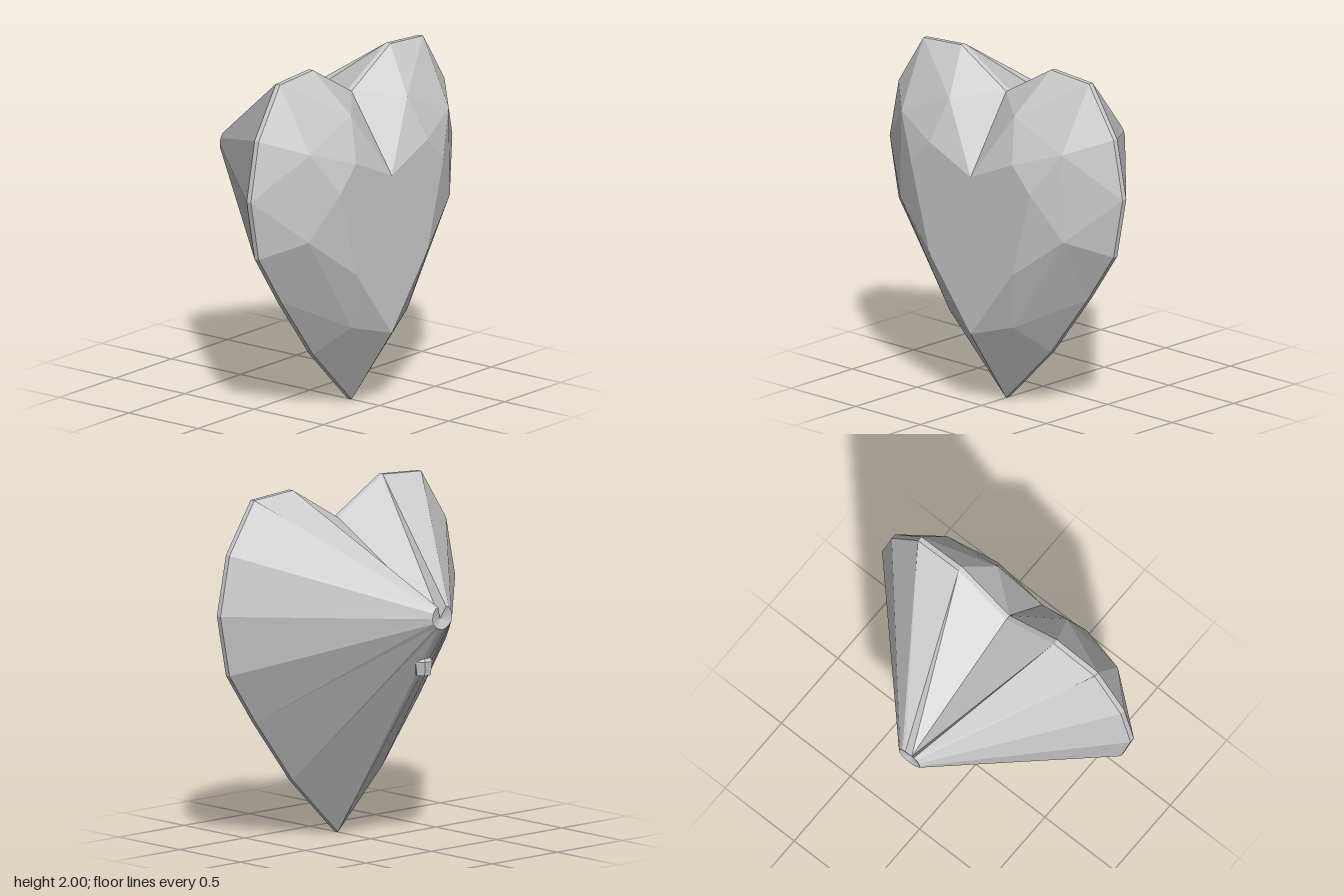
import * as THREE from 'three';

// Half outlines as [z, y], running from the notch round the +z lobe to the tip
const outline = [[0, 1.8], [0.345, 2], [0.64, 1.98], [0.83, 1.69], [0.9, 1.35], [0.83, 1], [0.63, 0.71], [0.345, 0.34], [0, 0]];
const middle = [[0.25, 1.75], [0.62, 1.6], [0.63, 1.09], [0.25, 0.51]];
const top = [[0, 1.36], [0.32, 1.5], [0.46, 1.35], [0.32, 0.85], [0, 0.44]];
const point = [[0, 1.34], [0.03, 1.41], [0.05, 1.405], [0.068, 1.38], [0.075, 1.35], [0.07, 1.32], [0.05, 1.3], [0.03, 1.288], [0, 1.28]];

const at = (x, pts) => pts.map(([z, y]) => [x, y, z]);
const O = at(0.3, outline);
const G = at(0.27, outline);
const M = at(0.5, middle);
const T = at(0.59, top);
const K = at(-0.59, point);
K[0][0] = -0.57;

const material = new THREE.MeshStandardMaterial({ color: 0xcccccc, flatShading: true });

// Facets of the +z half, plus their mirror image with reversed corners
function facetMesh(name, triangles) {
  const data = [];
  for (const [a, b, c] of triangles) {
    data.push(...a, ...b, ...c);
    for (const [x, y, z] of [a, c, b]) data.push(x, y, -z);
  }
  const geometry = new THREE.BufferGeometry();
  geometry.setAttribute('position', new THREE.Float32BufferAttribute(data, 3));
  geometry.computeVertexNormals();
  const mesh = new THREE.Mesh(geometry, material);
  mesh.name = name;
  return mesh;
}

export function createModel() {
  const group = new THREE.Group();
  group.name = 'heartGem';

  // Flat heart-shaped table
  group.add(facetMesh('table', [1, 2, 3].map((i) => [T[0], T[i], T[i + 1]])));

  // Crown facets between girdle and table
  const [m1, m2, m3, m4] = M;
  group.add(facetMesh('crown', [
    [O[0], O[1], m1], [T[0], O[0], m1], [T[0], m1, T[1]],
    [O[1], O[2], m1], [O[2], m2, m1], [m1, m2, T[1]],
    [O[2], O[3], m2], [O[3], O[4], m2], [T[1], m2, T[2]],
    [m2, O[4], m3], [m2, m3, T[2]],
    [O[4], O[5], m3], [O[5], O[6], m3], [T[2], m3, T[3]],
    [m3, O[6], m4], [m3, m4, T[3]],
    [O[6], O[7], m4], [O[7], O[8], m4], [m4, O[8], T[4]], [m4, T[4], T[3]],
  ]));

  // Thin girdle, long pavilion facets and the small blunt end
  const girdle = [], pavilion = [], culet = [];
  for (let i = 0; i < 8; i++) {
    girdle.push([O[i + 1], O[i], G[i]], [O[i + 1], G[i], G[i + 1]]);
    pavilion.push([G[i + 1], G[i], K[i]], [G[i + 1], K[i], K[i + 1]]);
    if (i > 0) culet.push([K[0], K[i + 1], K[i]]);
  }
  group.add(facetMesh('girdle', girdle), facetMesh('pavilion', pavilion), facetMesh('culet', culet));

  // Small pointed stud under the blunt end
  const profile = [[0, 1], [0.045, 1], [0.056, 1.08], [0, 1.165]].map(([r, y]) => new THREE.Vector2(r, y));
  const stud = new THREE.Mesh(new THREE.LatheGeometry(profile, 6), material);
  stud.name = 'stud';
  stud.position.x = -0.43;
  group.add(stud);

  return group;
}
